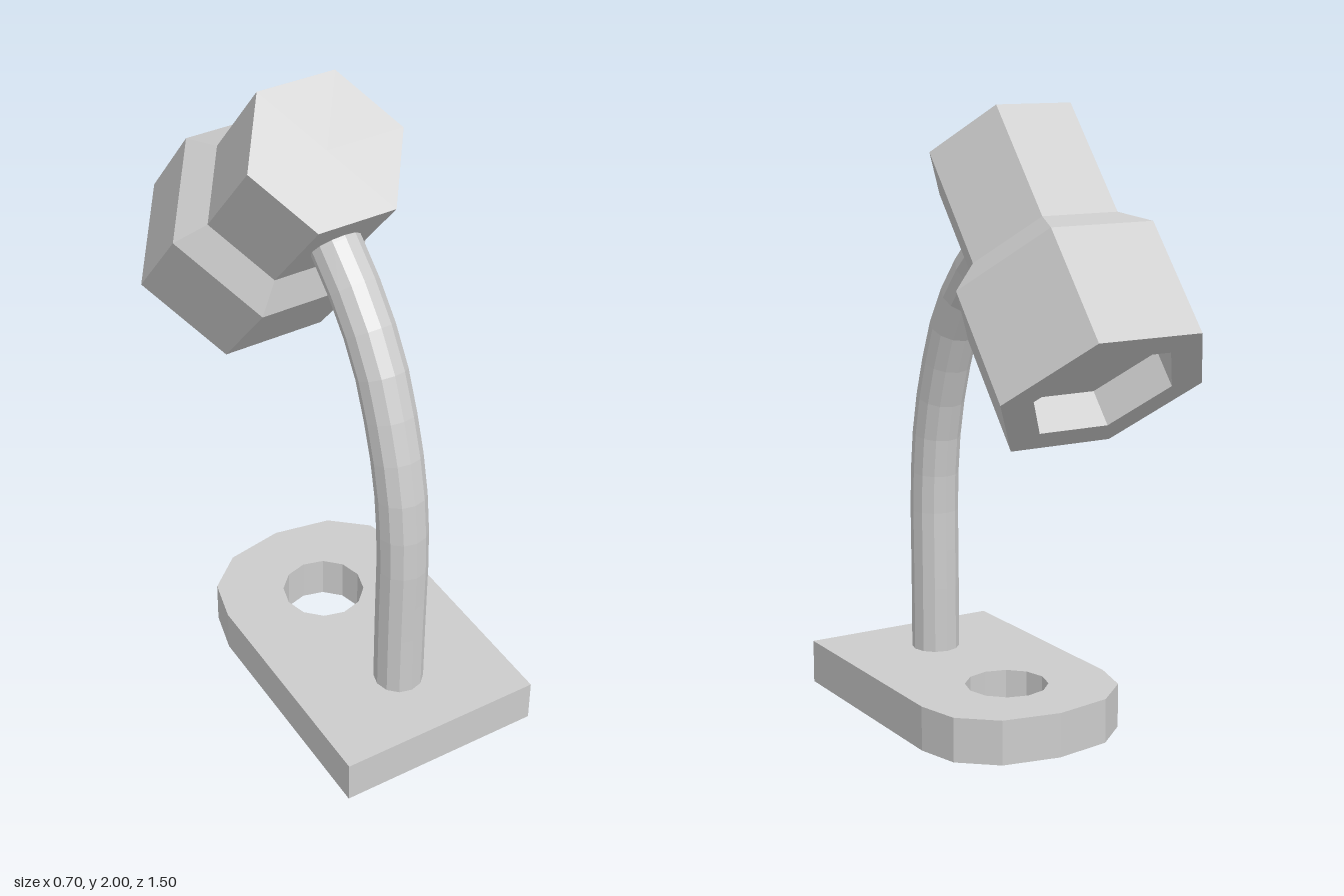
import * as THREE from 'three';

const material = new THREE.MeshStandardMaterial({
  color: 0xcccccc, flatShading: true, side: THREE.DoubleSide,
});

function part(name, geometry) {
  const mesh = new THREE.Mesh(geometry, material);
  mesh.name = name;
  return mesh;
}

// Flat plate: square front, rounded back and a round through-hole
function createBase() {
  const corners = [[0.34, 0.755], [0.34, -0.02], [0.305, -0.16], [0.19, -0.26]];
  const mirrored = corners.map(([x, z]) => [-x, z]).reverse();
  const outline = [...corners, [0, -0.295], ...mirrored];
  const shape = new THREE.Shape(outline.map(([x, z]) => new THREE.Vector2(x, -z)));

  const hole = [];
  for (let i = 0; i < 12; i++) {
    const a = -i / 12 * Math.PI * 2;
    hole.push(new THREE.Vector2(0.135 * Math.cos(a), -0.03 + 0.135 * Math.sin(a)));
  }
  shape.holes.push(new THREE.Path(hole));

  const geometry = new THREE.ExtrudeGeometry(shape, { depth: 0.145, bevelEnabled: false });
  geometry.rotateX(-Math.PI / 2);
  return part('base', geometry);
}

// Curved neck rising from the plate and bending back into the lamp head
function createNeck() {
  const path = [
    [0.1, 0.5], [0.4, 0.5], [0.72, 0.5], [0.93, 0.475], [1.09, 0.43],
    [1.275, 0.355], [1.435, 0.24], [1.57, 0.09], [1.64, 0],
  ].map(([y, z]) => new THREE.Vector3(0, y, z));
  return part('neck', new THREE.TubeGeometry(new THREE.CatmullRomCurve3(path), 13, 0.08, 12));
}

// Six-sided lamp head: narrow cap, flared collar, wide shade with a recessed opening
function createHead() {
  const profile = [
    [0, -0.755], [0.24, -0.755], [0.24, -0.875], [0.35, -0.875],
    [0.35, -0.49], [0.26, -0.4], [0.26, 0], [0, 0],
  ].map(([r, y]) => new THREE.Vector2(r, y));
  const head = part('lampHead', new THREE.LatheGeometry(profile, 6, Math.PI / 2));
  head.position.set(0, 1.855, 0.045);
  head.rotation.x = THREE.MathUtils.degToRad(40);
  return head;
}

export function createModel() {
  const lamp = new THREE.Group();
  lamp.name = 'deskLamp';
  lamp.add(createBase(), createNeck(), createHead());
  return lamp;
}
